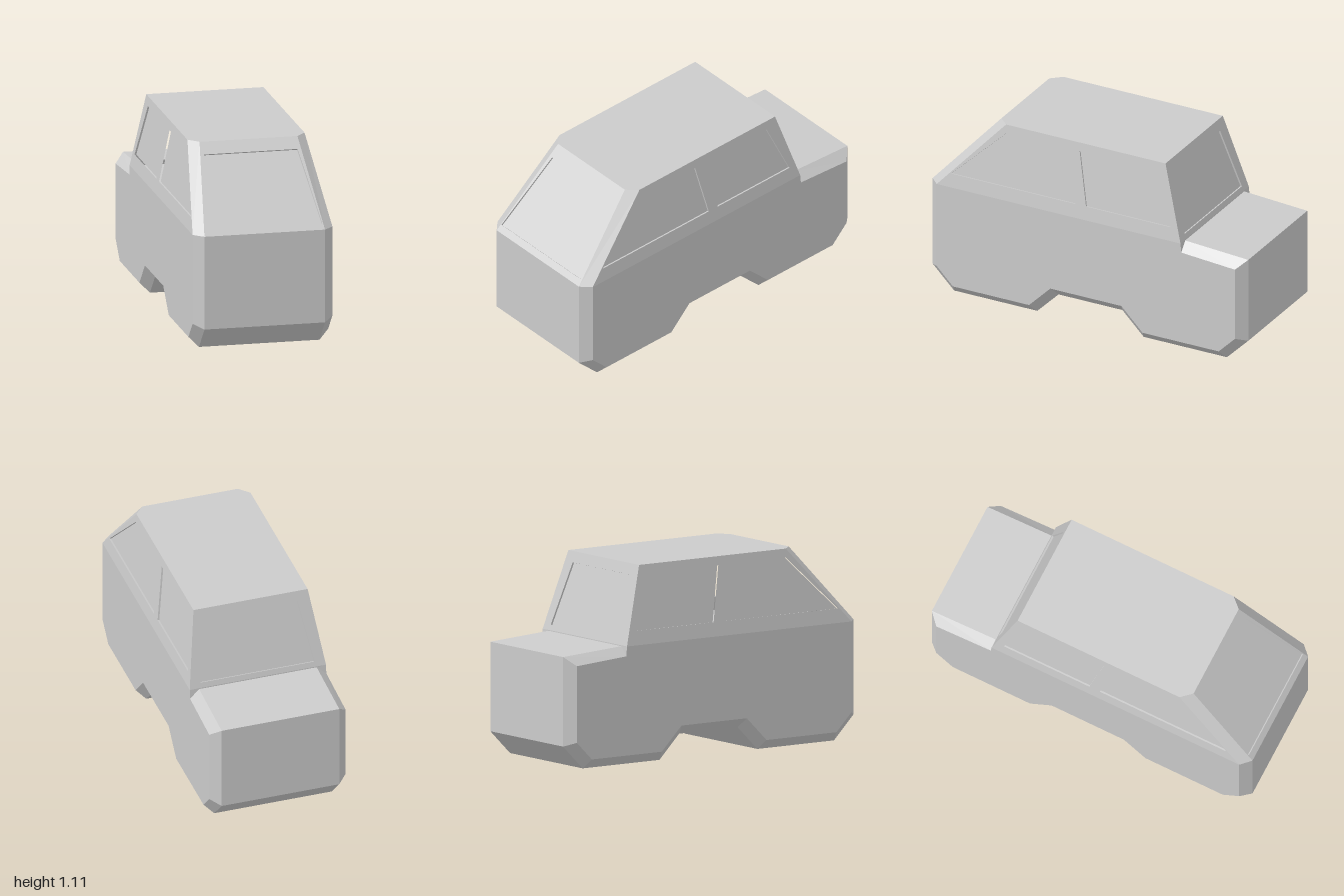
import * as THREE from 'three';

const material = new THREE.MeshStandardMaterial({ color: 0xcccccc, flatShading: true });
const RECESS = 0.01;

function addMesh(group, name, geometry) {
  const mesh = new THREE.Mesh(geometry, material);
  mesh.name = name;
  group.add(mesh);
}

// Builds a flat-shaded surface from a list of triangle corners
function surface(corners) {
  const geometry = new THREE.BufferGeometry();
  geometry.setAttribute('position', new THREE.Float32BufferAttribute(corners.flat(), 3));
  geometry.computeVertexNormals();
  return geometry;
}

// Convex polygon, corners anticlockwise seen from outside
function polygon(points) {
  const corners = [];
  for (let i = 1; i < points.length - 1; i++) corners.push(points[0], points[i], points[i + 1]);
  return surface(corners);
}

const toVectors = (points) => points.map(([a, b]) => new THREE.Vector2(a, b));

// Lower body: side profiles as [z, y], full size in the middle and inset at the flanks
function lowerBody() {
  const middle = [
    [1, 0.67], [1, 0.135], [0.865, 0], [0.337, 0], [0.202, 0.135], [-0.202, 0.135],
    [-0.337, 0], [-0.865, 0], [-1, 0.135], [-1, 0.64], [-0.6, 0.665], [-0.6, 0.67],
  ];
  const flank = [
    [0.945, 0.67], [0.945, 0.158], [0.842, 0.055], [0.36, 0.055], [0.225, 0.19], [-0.225, 0.19],
    [-0.36, 0.055], [-0.842, 0.055], [-0.945, 0.158], [-0.945, 0.59], [-0.605, 0.615], [-0.6, 0.67],
  ];
  const at = (profile, x) => profile.map(([z, y]) => [x, y, z]);
  const rows = [at(flank, 0.4), at(middle, 0.345), at(middle, -0.345), at(flank, -0.4)];
  const corners = [];
  for (let k = 0; k < 3; k++) {
    for (let i = 0; i < middle.length; i++) {
      const j = (i + 1) % middle.length;
      const [a, b, c, d] = [rows[k][i], rows[k][j], rows[k + 1][j], rows[k + 1][i]];
      corners.push(a, d, c, a, c, b);
    }
  }
  // Flat flanks
  const outline = toVectors(flank.map(([z, y]) => [-z, y]));
  for (const [a, b, c] of THREE.ShapeUtils.triangulateShape(outline, [])) {
    corners.push(rows[0][a], rows[0][b], rows[0][c]);
    corners.push(rows[3][c], rows[3][b], rows[3][a]);
  }
  return surface(corners);
}

// Sloping cabin wall with recessed windows, laid onto the plane origin + a * across + b * up
function cabinWall(group, name, across, up, origin, outline, windows) {
  const normal = across.clone().cross(up).normalize();
  const plane = new THREE.Matrix4().makeBasis(across, up, normal).setPosition(origin);
  const place = (geometry, depth) => {
    geometry.translate(0, 0, -depth).applyMatrix4(plane);
    geometry.computeVertexNormals();
    return geometry;
  };
  const shape = new THREE.Shape(toVectors(outline));
  shape.holes = windows.map((points) => new THREE.Path(toVectors(points)));
  const thickness = RECESS + 0.003;
  const frame = new THREE.ExtrudeGeometry(shape, { depth: thickness, bevelEnabled: false });
  addMesh(group, name + 'Frame', place(frame, thickness));
  windows.forEach((points, i) => {
    const pane = new THREE.ShapeGeometry(new THREE.Shape(toVectors(points)));
    addMesh(group, name + 'Window' + (i + 1), place(pane, RECESS));
  });
}

export function createModel() {
  const car = new THREE.Group();
  car.name = 'car';
  addMesh(car, 'lowerBody', lowerBody());

  const cabin = new THREE.Group();
  cabin.name = 'cabin';
  car.add(cabin);
  const v = (x, y, z) => new THREE.Vector3(x, y, z);
  const lean = 0.065 / 0.44;

  // Windscreen; heights are measured from the belt line at y = 0.67
  cabinWall(cabin, 'windscreen', v(1, 0, 0), v(0, 1, -0.4 / 0.44), v(0, 0.67, 1),
    [[-0.345, 0], [0.345, 0], [0.28, 0.44], [-0.28, 0.44]],
    [[[-0.335, 0.03], [0.335, 0.03], [0.268, 0.38], [-0.268, 0.38]]]);

  // Rear wall
  cabinWall(cabin, 'rear', v(-1, 0, 0), v(0, 1, 0.13 / 0.44), v(0, 0.67, -0.6),
    [[-0.4, 0], [0.4, 0], [0.335, 0.44], [-0.335, 0.44]],
    [[[-0.335, 0.03], [0.335, 0.03], [0.27, 0.38], [-0.27, 0.38]]]);

  // Side walls and windscreen pillars, points as [z, height]
  for (const side of [1, -1]) {
    const name = side > 0 ? 'left' : 'right';
    const flip = (points) => points.map(([z, h]) => [-side * z, h]);
    cabinWall(cabin, name + 'Side', v(0, 0, -side), v(-side * lean, 1, 0), v(side * 0.4, 0.67, 0),
      flip([[0.945, 0], [-0.6, 0], [-0.47, 0.44], [0.54, 0.44]]),
      [
        flip([[0.86, 0.08], [0.07, 0.08], [0.132, 0.39], [0.535, 0.39]]),
        flip([[0.005, 0.08], [-0.53, 0.08], [-0.4, 0.39], [0.07, 0.39]]),
      ]);
    const pillar = [
      [side * 0.345, 0.67, 1], [side * 0.4, 0.67, 0.945],
      [side * 0.335, 1.11, 0.54], [side * 0.28, 1.11, 0.6],
    ];
    addMesh(cabin, name + 'Pillar', polygon(side > 0 ? pillar : pillar.reverse()));
  }

  // Roof
  addMesh(cabin, 'roof', polygon([
    [-0.28, 1.11, 0.6], [0.28, 1.11, 0.6], [0.335, 1.11, 0.54],
    [0.335, 1.11, -0.47], [-0.335, 1.11, -0.47], [-0.335, 1.11, 0.54],
  ]));
  return car;
}
